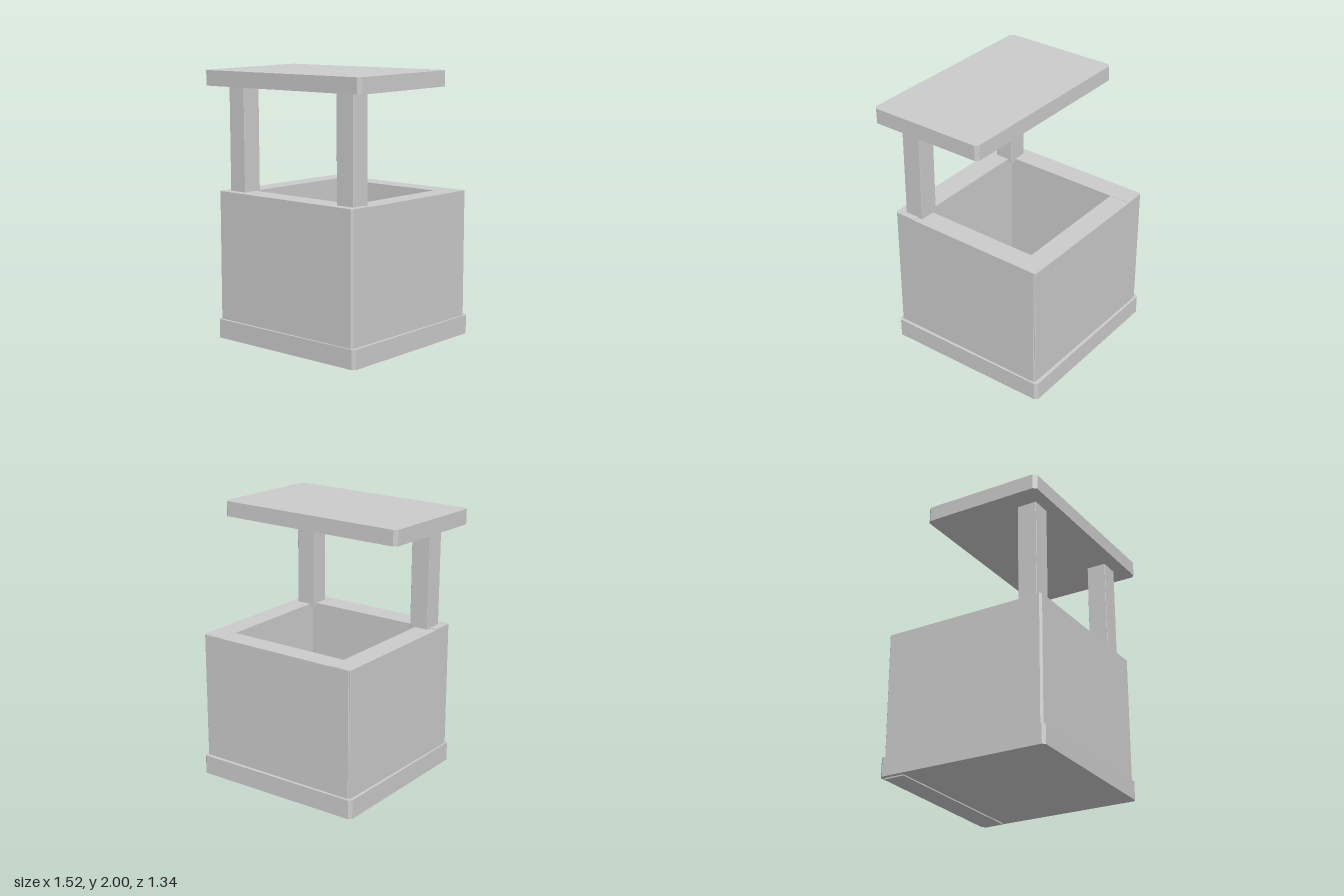
import * as THREE from 'three';

const material = new THREE.MeshStandardMaterial({ color: 0xcccccc, flatShading: true });

// Upright block with its four vertical corners cut at an angle, centred on its origin
function slab(name, width, height, depth, cut) {
  const w = width / 2, d = depth / 2;
  const outline = [
    [w - cut, -d], [w, -d + cut], [w, d - cut], [w - cut, d],
    [-w + cut, d], [-w, d - cut], [-w, -d + cut], [-w + cut, -d],
  ].map(([x, y]) => new THREE.Vector2(x, y));
  const geometry = new THREE.ExtrudeGeometry(new THREE.Shape(outline), { depth: height, bevelEnabled: false });
  geometry.translate(0, 0, -height / 2).rotateX(-Math.PI / 2);
  const mesh = new THREE.Mesh(geometry, material);
  mesh.name = name;
  return mesh;
}

// Block given by its limits on each axis
function block(name, [x0, x1], [y0, y1], [z0, z1], cut) {
  const mesh = slab(name, x1 - x0, y1 - y0, z1 - z0, cut);
  mesh.position.set((x0 + x1) / 2, (y0 + y1) / 2, (z0 + z1) / 2);
  return mesh;
}

export function createModel() {
  const model = new THREE.Group();
  model.name = 'well';

  // Plinth, set slightly askew
  const base = slab('base', 1.34, 0.142, 1.305, 0.022);
  base.position.set(-0.003, 0.08, -0.012);
  base.rotation.set(0.007, 0.009, 0);
  model.add(base);

  // Four thick walls around an open shaft
  const walls = new THREE.Group();
  walls.name = 'walls';
  walls.add(
    block('frontWall', [-0.655, 0.647], [0.02, 1.105], [0.445, 0.625], 0.015),
    block('backWall', [-0.645, 0.64], [0.003, 1.098], [-0.64, -0.478], 0.004),
    block('leftWall', [0.482, 0.647], [0.02, 1.1], [-0.63, 0.6], 0.004),
    block('rightWall', [-0.655, -0.49], [0.02, 1.1], [-0.635, 0.6], 0.004),
  );
  model.add(walls);

  // Two posts standing on the front wall, leaning a touch inwards or outwards
  for (const side of [1, -1]) {
    const post = block(side > 0 ? 'leftPost' : 'rightPost', [-0.075, 0.075], [1.08, 1.9], [0.41, 0.56], 0.002);
    post.position.x = side * 0.523;
    post.rotation.z = 0.004;
    model.add(post);
  }

  // Flat roof tilted gently up towards the back
  const roof = slab('roof', 1.515, 0.113, 0.918, 0.024);
  roof.position.set(-0.002, 1.936, 0.203);
  roof.rotation.set(0.017, -0.01, 0);
  model.add(roof);

  return model;
}
